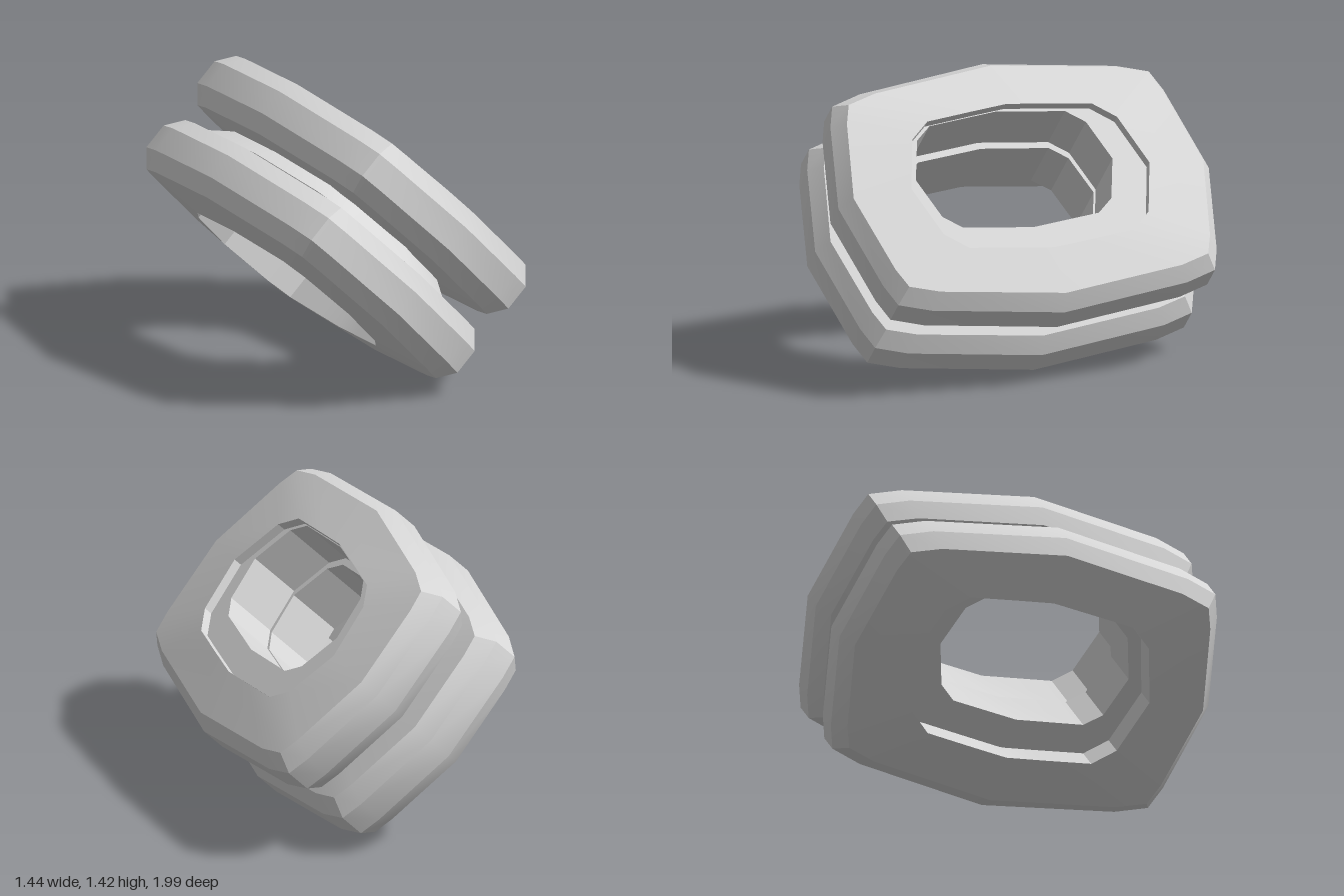
import * as THREE from 'three';
import { toCreasedNormals } from 'three/addons/utils/BufferGeometryUtils.js';

// First quarter of each outline: a tip, clipped corner points, the other tip,
// as fractions of the half sizes.
const OUTER = [[1, 0], [0.872, 0.69], [0.8, 0.855], [0.64, 0.9], [0, 1]];
const INNER = [[1, 0], [0.88, 0.69], [0.66, 0.86], [0, 1]];
const HOLE = [[1, 0], [0.95, 0.3], [0.88, 0.69], [0.66, 0.86], [0, 1]];

// Mirrors the quarter into a full closed outline at height h.
function outline(style, [u, v, h], [du, dv]) {
  const half = [...style, ...style.slice(0, -1).reverse().map(([a, b]) => [-a, b])];
  const full = [...half, ...half.slice(1, -1).reverse().map(([a, b]) => [a, -b])];
  return full.map(([a, b]) => [a * u + du, h, b * v + dv]);
}

// Ring body lofted through a closed loop of outlines
// (up the outside, inward over the top, down the bore, outward below).
function loftRing(loops) {
  const n = loops[0].length, m = loops.length;
  const index = [];
  for (let k = 0; k < m; k++) {
    for (let i = 0; i < n; i++) {
      const k2 = (k + 1) % m, i2 = (i + 1) % n;
      const a = k * n + i, b = k2 * n + i, c = k2 * n + i2, d = k * n + i2;
      index.push(a, b, c, a, c, d);
    }
  }
  const geo = new THREE.BufferGeometry();
  geo.setAttribute('position', new THREE.Float32BufferAttribute(loops.flat(2), 3));
  geo.setIndex(index);
  return toCreasedNormals(geo, 0.5);
}

export function createModel() {
  const model = new THREE.Group();
  model.name = 'grommet';
  const grey = new THREE.MeshStandardMaterial({ color: 0xd8d8d8 });
  grey.name = 'light grey';

  // Tilted body: local y is the bore axis
  const body = new THREE.Group();
  body.name = 'body';
  const axis = new THREE.Vector3(0.7, 0.71, -0.08).normalize();
  const u0 = new THREE.Vector3(0.71, -0.7, 0).normalize();
  const v0 = new THREE.Vector3().crossVectors(u0, axis).normalize();
  const u = u0.multiplyScalar(Math.cos(0.08)).addScaledVector(v0, -Math.sin(0.08));
  const v = new THREE.Vector3().crossVectors(u, axis).normalize();
  body.quaternion.setFromRotationMatrix(new THREE.Matrix4().makeBasis(u, axis, v));
  body.position.y = 0.712;
  model.add(body);

  const add = (name, geo, y) => {
    const mesh = new THREE.Mesh(geo, grey);
    mesh.name = name;
    mesh.position.y = y;
    body.add(mesh);
  };

  // Two chamfered flanges, each a shell around a wide hole
  const rim = [[0.65, 0.925, -0.153], [0.71, 0.98, -0.068], [0.71, 0.98, 0.068], [0.65, 0.925, 0.153]];
  const edge = [[0.41, 0.63, 0.187], [0.41, 0.63, -0.187]];
  const flange = loftRing([
    ...rim.map((s) => outline(OUTER, s, [0, 0])),
    ...edge.map((s) => outline(HOLE, s, [0, 0])),
  ].map((loop, i) => (i < rim.length ? loop : matchCount(loop))));
  add('upperFlange', flange, 0.2);
  add('lowerFlange', flange, -0.2);

  // Sleeves lining the bore, set slightly off centre
  const sleeve = (outer, bore, boreShift) => loftRing([
    ...outer.map((s) => outline(INNER, s, [-0.06, 0.04])),
    ...bore.map((s) => outline(INNER, s, boreShift)),
  ]);
  add('upperSleeve', sleeve(
    [[0.47, 0.7, 0.05], [0.47, 0.7, 0.34]],
    [[0.33, 0.52, 0.34], [0.33, 0.52, 0.05]], [-0.07, 0.05]), 0);
  // The lower sleeve rises from its flange as a sloped lip that closes the gap
  add('lowerSleeve', sleeve(
    [[0.47, 0.7, -0.25], [0.56, 0.81, -0.04], [0.47, 0.7, 0.035], [0.45, 0.68, 0.05]],
    [[0.31, 0.5, 0.05], [0.31, 0.5, -0.25]], [-0.055, 0.045]), 0);

  return model;
}

// Hole loops already share the rim's point count; close them as they are.
function matchCount(loop) {
  return loop;
}
